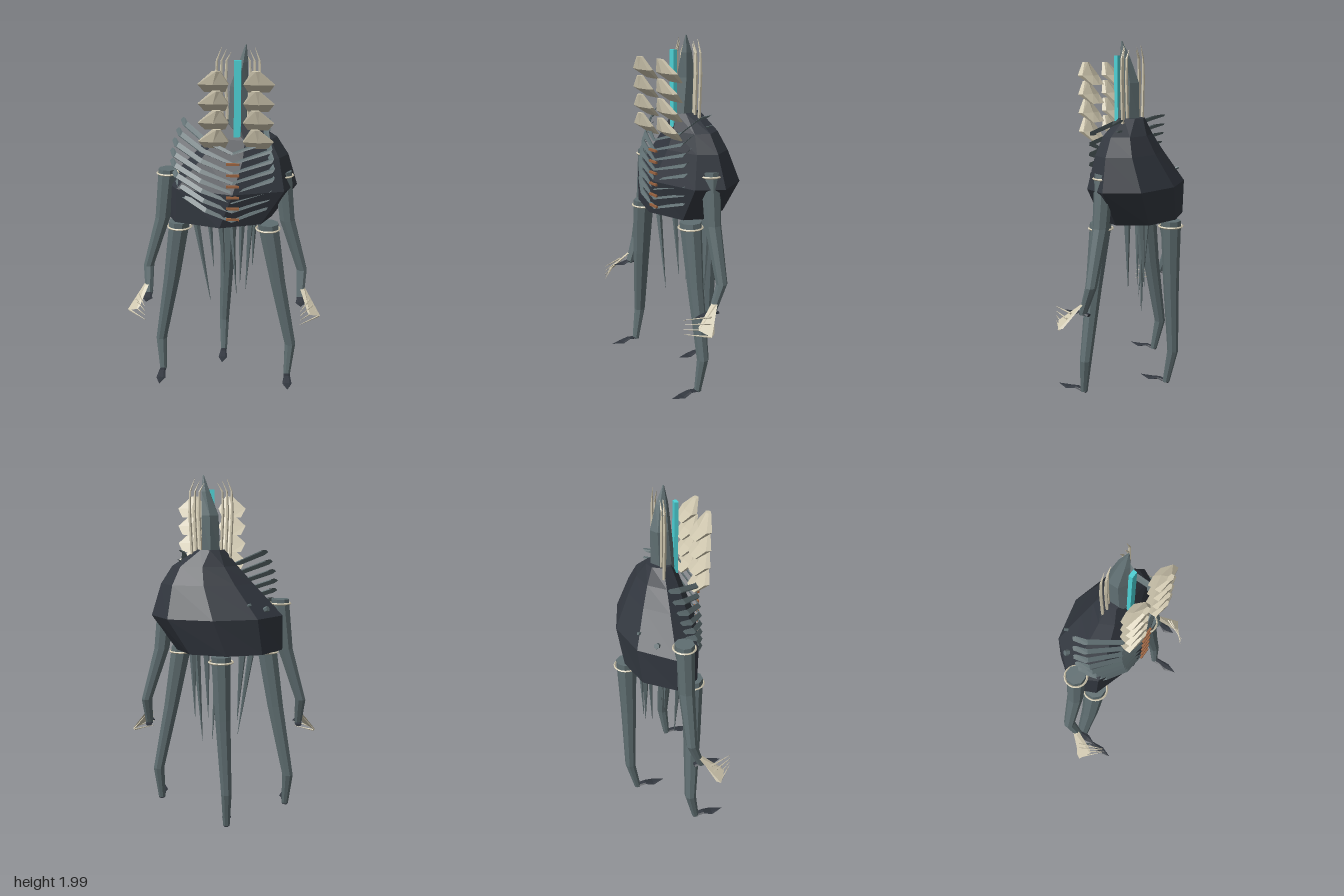
import * as THREE from 'three';

const flat = (name, color) => {
  const m = new THREE.MeshStandardMaterial({ color, flatShading: true });
  m.name = name;
  return m;
};

// Closed skin through cross-sections (arrays of [x, y, z]), turned to face outward
function loft(sections) {
  const n = sections[0].length, tris = [];
  for (let i = 0; i < sections.length - 1; i++) {
    const a = sections[i], b = sections[i + 1];
    for (let j = 0; j < n; j++) {
      const k = (j + 1) % n;
      tris.push([a[j], b[j], b[k]], [a[j], b[k], a[k]]);
    }
  }
  const first = sections[0], last = sections[sections.length - 1];
  for (let j = 1; j < n - 1; j++) {
    tris.push([first[0], first[j], first[j + 1]], [last[0], last[j + 1], last[j]]);
  }
  const v = (p) => new THREE.Vector3(...p);
  let volume = 0;
  for (const [a, b, c] of tris) volume += v(a).sub(v(first[0])).dot(v(b).sub(v(first[0])).cross(v(c).sub(v(first[0]))));
  if (volume < 0) tris.forEach((t) => t.reverse());
  const g = new THREE.BufferGeometry();
  g.setAttribute('position', new THREE.Float32BufferAttribute(tris.flat(2), 3));
  g.computeVertexNormals();
  return g;
}

// Horizontal ring, and ring in the plane facing z
const ringY = (x, y, z, rx, rz, n = 8) => Array.from({ length: n }, (_, i) => {
  const a = ((i + 0.5) / n) * Math.PI * 2;
  return [x + rx * Math.cos(a), y, z + rz * Math.sin(a)];
});
const ringZ = (x, y, z, rx, ry, n = 6) => Array.from({ length: n }, (_, i) => {
  const a = (i / n) * Math.PI * 2;
  return [x + rx * Math.cos(a), y + ry * Math.sin(a), z];
});

export function createModel() {
  const model = new THREE.Group();
  const shell = flat('dark shell', 0x32373f);
  const slate = flat('slate', 0x5f6e71);
  const bone = flat('bone', 0xcfc7af);
  const cyan = flat('cyan', 0x4dd2d6);
  const rust = flat('rust', 0x9a6340);

  const add = (name, geometry, material) => {
    const m = new THREE.Mesh(geometry, material);
    m.name = name;
    model.add(m);
    return m;
  };
  // Tapered limb: rows of [x, y, z, radius]
  const limb = (name, rows, mat = slate, n = 8) =>
    add(name, loft(rows.map(([x, y, z, r]) => ringY(x, y, z, r, r, n))), mat);
  // Straight spike between two points
  const spike = (name, a, b, r, mat, n = 5, tip = 0.001) => {
    const p = new THREE.Vector3(...a), d = new THREE.Vector3(...b).sub(p);
    const m = add(name, new THREE.CylinderGeometry(tip, r, d.length(), n), mat);
    m.position.copy(p).addScaledVector(d, 0.5);
    m.quaternion.setFromUnitVectors(new THREE.Vector3(0, 1, 0), d.normalize());
  };
  const cuff = (x, y, z, r) => {
    const m = add('cuff', new THREE.TorusGeometry(r, 0.006, 4, 20), bone);
    m.rotation.x = Math.PI / 2;
    m.position.set(x, y, z);
  };
  // Flat leaf-shaped blade pointing forward
  const blade = (name, x, y, z, len) => add(name, loft([
    ringZ(x, y, z - 0.015, 0.018, 0.008), ringZ(x, y + 0.012, z + len * 0.3, 0.02, 0.006),
    ringZ(x, y, z + len * 0.6, 0.028, 0.005), ringZ(x, y + 0.006, z + len, 0.001, 0.001),
  ]), shell);

  // Faceted body: one outline, fitted to the bounds of each level
  const outline = [[0.05, -1], [0.72, -0.72], [1, 0.02], [0.8, 0.64], [0.05, 1], [-0.8, 0.62], [-1, 0], [-0.6, -0.75]];
  const level = (y, x0, x1, z0, z1) => outline.map(([u, w]) =>
    [(x0 + x1) / 2 + u * (x1 - x0) / 2, y, (z0 + z1) / 2 + w * (z1 - z0) / 2]);
  add('body', loft([
    level(1.02, -0.34, 0.27, -0.24, 0.19), level(1.22, -0.34, 0.41, -0.265, 0.205),
    level(1.4, -0.17, 0.355, -0.175, 0.145), level(1.5, -0.08, 0.29, -0.125, 0.11),
    level(1.59, -0.01, 0.15, -0.08, 0.07),
  ]), shell);
  spike('backNub', [-0.2, 1.24, -0.08], [-0.25, 1.27, -0.115], 0.018, slate, 6, 0.016);
  spike('backNub', [-0.12, 1.28, -0.15], [-0.15, 1.3, -0.19], 0.01, slate, 6, 0.008);

  // Pointed hood and glowing face slit
  add('hood', loft([
    ringY(0.07, 1.56, 0.016, 0.057, 0.07, 6), ringY(0.075, 1.78, 0.003, 0.054, 0.058, 6),
    ringY(0.1, 1.91, 0.018, 0.027, 0.034, 6), ringY(0.113, 2, 0.03, 0.004, 0.004, 6),
  ]), slate);
  add('faceSlit', new THREE.BoxGeometry(0.038, 0.41, 0.022), cyan).position.set(0.072, 1.72, 0.083);

  for (const s of [-1, 1]) {
    const cx = (d) => 0.07 + s * d;

    // Crown of thin spines beside the hood
    for (let i = 0; i < 3; i++) {
      const d = 0.055 + i * 0.026, z = -0.012 + (i % 2) * 0.01;
      limb('crownSpine', [[cx(d), 1.53, z, 0.009], [cx(d + 0.012), 1.8, z, 0.009],
        [cx(d + 0.008), 1.91, z, 0.006], [cx(d - 0.018), 1.98 - (2 - i) * 0.012, z, 0.001]], bone, 5);
    }

    // Stack of flared bone plates: narrow neck, wide skirt swept back
    for (let i = 0; i < 4; i++) {
      const y = 1.89 - i * 0.1;
      add('shoulderPlate', loft([
        ringY(cx(0.1), y, 0.228, 0.024, 0.014, 6), ringY(cx(0.118), y - 0.07, 0.2, 0.092, 0.03, 6),
        ringY(cx(0.115), y - 0.12, 0.142, 0.064, 0.012, 6),
      ]), bone);
    }

    // Ribs sweeping up and back from the breastbone, the lower right ones sinking into the body
    for (let k = 0; k < 8; k++) {
      const y = 1.45 - k * 0.055, bulge = 0.06 * Math.sin((k / 7) * Math.PI), left = s < 0;
      const bend = [cx(0.17 + bulge * 0.5), y + 0.06, left ? 0.15 + k * 0.005 : 0.15 - k * 0.004];
      const tipX = left ? -0.24 - bulge : 0.24 + bulge * 0.2, out = left ? k * 0.016 : 0;
      const bar = (x, yy, z, h, t) => [[x - t, yy - h, z], [x, yy - h, z + t], [x + t, yy + h, z], [x, yy + h, z - t]];
      add('rib', loft([
        bar(0.05, y, 0.195, 0.006, 0.006), bar(...bend, 0.01, 0.012),
        bar(tipX + s * -0.02, y + 0.12, out + 0.015, 0.011, 0.013), bar(tipX, y + 0.135, out - 0.04, 0.006, 0.012),
      ]), slate);
    }

    // Arm, cuff and wrist blade
    const X = (x) => s * x;
    limb('arm', [[X(0.325), 1.31, 0.015, 0.054], [X(0.36), 1.02, 0.02, 0.046],
      [X(0.455), 0.71, 0.025, 0.032], [X(0.45), 0.545, 0.085, 0.022]]);
    cuff(X(0.325), 1.285, 0.015, 0.06);
    blade('wristBlade', X(0.45), 0.545, 0.06, 0.14);

    // Bony hand: slanted palm plate with four forward fingers
    add('palm', loft([
      [[X(0.45), 0.62, 0.065], [X(0.475), 0.61, 0.065], [X(0.475), 0.6, 0.09], [X(0.45), 0.605, 0.09]],
      [[X(0.555), 0.485, 0.145], [X(0.568), 0.478, 0.17], [X(0.505), 0.505, 0.21], [X(0.49), 0.515, 0.2]],
    ]), bone);
    for (let i = 0; i < 4; i++) {
      const y = 0.56 - i * 0.028;
      spike('finger', [X(0.505 + i * 0.017), y, 0.125 + i * 0.014], [X(0.445), y - 0.004, 0.268], 0.006, bone);
    }
  }

  // Breastbone marks
  for (let i = 0; i < 6; i++) {
    add('breastboneMark', new THREE.BoxGeometry(0.07, 0.012, 0.012), rust).position.set(0.055, 1.395 - i * 0.063, 0.206);
  }

  // Three legs: rows of [x, y, z, radius] from hip to ankle
  const legs = [
    [[-0.255, 1.02, 0.085, 0.062], [-0.31, 0.66, 0.075, 0.05], [-0.39, 0.23, 0.05, 0.034], [-0.38, 0.03, 0.09, 0.021]],
    [[0.25, 1.02, 0.09, 0.062], [0.315, 0.66, 0.1, 0.046], [0.4, 0.25, 0.105, 0.034], [0.387, 0.05, 0.13, 0.021]],
    [[0.01, 1.02, -0.225, 0.058], [0, 0.66, -0.225, 0.046], [-0.02, 0.22, -0.232, 0.032], [-0.02, 0.012, -0.19, 0.021]],
  ];
  for (const rows of legs) {
    limb('leg', rows);
    const [hx, , hz] = rows[0], [x, y, z] = rows[3];
    cuff(hx, 0.988, hz, 0.067);
    blade('foot', x, y, z, 0.175);
  }

  // Spines hanging under the body: base x, base z, tip x, y, z
  for (const [x, z, tx, ty, tz] of [
    [-0.17, 0.04, -0.085, 0.49, 0.04], [-0.11, -0.14, -0.08, 0.63, -0.14], [-0.03, 0.01, 0, 0.6, 0],
    [0.03, -0.08, 0.065, 0.49, -0.06], [0.15, -0.11, 0.12, 0.49, -0.1], [0.1, 0.01, 0.09, 0.6, 0.01],
    [0.17, -0.12, 0.16, 0.65, -0.14],
  ]) spike('hangingSpine', [x, 1.04, z], [tx, ty, tz], 0.022, slate);

  return model;
}
